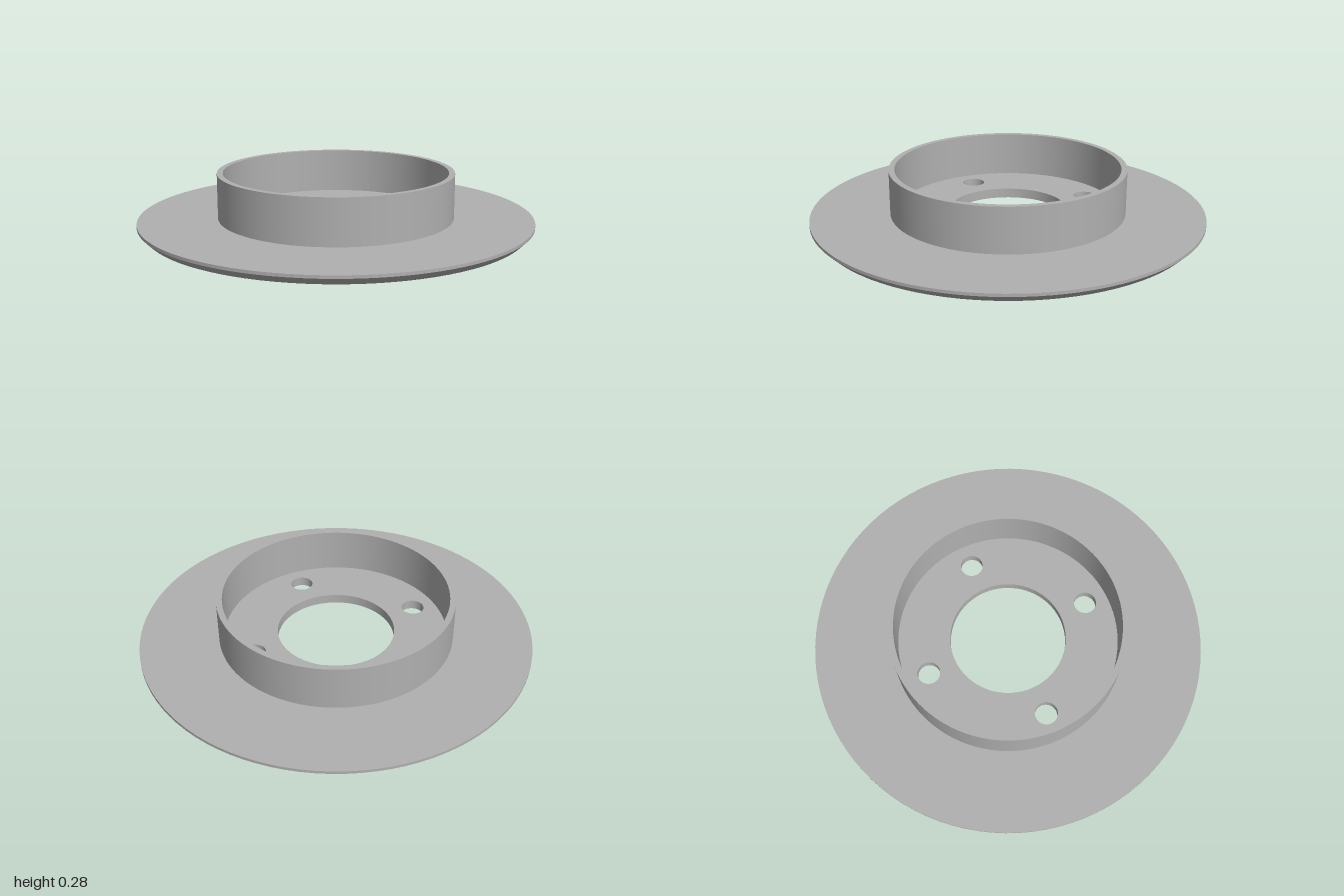
import * as THREE from 'three';

const SEGMENTS = 96;
const THICKNESS = 0.05, HEIGHT = 0.28;
const BORE = 0.3, BOLT = 0.058, BOLT_CIRCLE = 0.45;

export function createModel() {
  const model = new THREE.Group();
  const steel = new THREE.MeshStandardMaterial({ color: 0xb0b0b0 });
  steel.name = 'steel grey';

  const boltCentres = [0, 1, 2, 3].map((i) => {
    const a = (i * Math.PI) / 2;
    return [BOLT_CIRCLE * Math.cos(a), BOLT_CIRCLE * Math.sin(a)];
  });

  function add(name, geometry, parent) {
    const mesh = new THREE.Mesh(geometry, steel);
    mesh.name = name;
    parent.add(mesh);
    return mesh;
  }

  // One straight profile segment turned round y, so edges between bands stay sharp.
  // Rising profiles face outwards, falling ones face the axis.
  function band(name, r0, y0, r1, y1, parent) {
    const profile = [new THREE.Vector2(r0, y0), new THREE.Vector2(r1, y1)];
    return add(name, new THREE.LatheGeometry(profile, SEGMENTS), parent);
  }

  // Flat disc face pierced by the bore and the bolt holes
  function face(name, radius, y, up, parent) {
    const shape = new THREE.Shape().absarc(0, 0, radius, 0, Math.PI * 2, false);
    for (const [x, z, r] of [[0, 0, BORE], ...boltCentres.map((c) => [...c, BOLT])]) {
      shape.holes.push(new THREE.Path().absarc(x, z, r, 0, Math.PI * 2, true));
    }
    const geometry = new THREE.ShapeGeometry(shape, SEGMENTS / 2);
    geometry.rotateX(up ? -Math.PI / 2 : Math.PI / 2).translate(0, y, 0);
    add(name, geometry, parent);
  }

  // Disc with a chamfered lower edge
  const disc = new THREE.Group();
  disc.name = 'disc';
  face('discTop', 1, THICKNESS, true, disc);
  face('discBottom', 0.965, 0, false, disc);
  band('chamfer', 0.965, 0, 1, 0.035, disc);
  band('discRim', 1, 0.035, 1, THICKNESS, disc);

  // Walls of the bore and bolt holes
  band('boreWall', BORE, THICKNESS, BORE, 0, disc);
  for (const [x, z] of boltCentres) {
    band('boltHoleWall', BOLT, THICKNESS, BOLT, 0, disc).position.set(x, 0, z);
  }

  // Raised hub ring
  const hub = new THREE.Group();
  hub.name = 'hubRing';
  band('hubOuterWall', 0.6, THICKNESS, 0.6, HEIGHT, hub);
  band('hubTop', 0.6, HEIGHT, 0.57, HEIGHT, hub);
  band('hubInnerWall', 0.57, HEIGHT, 0.57, THICKNESS, hub);

  model.add(disc, hub);
  return model;
}
